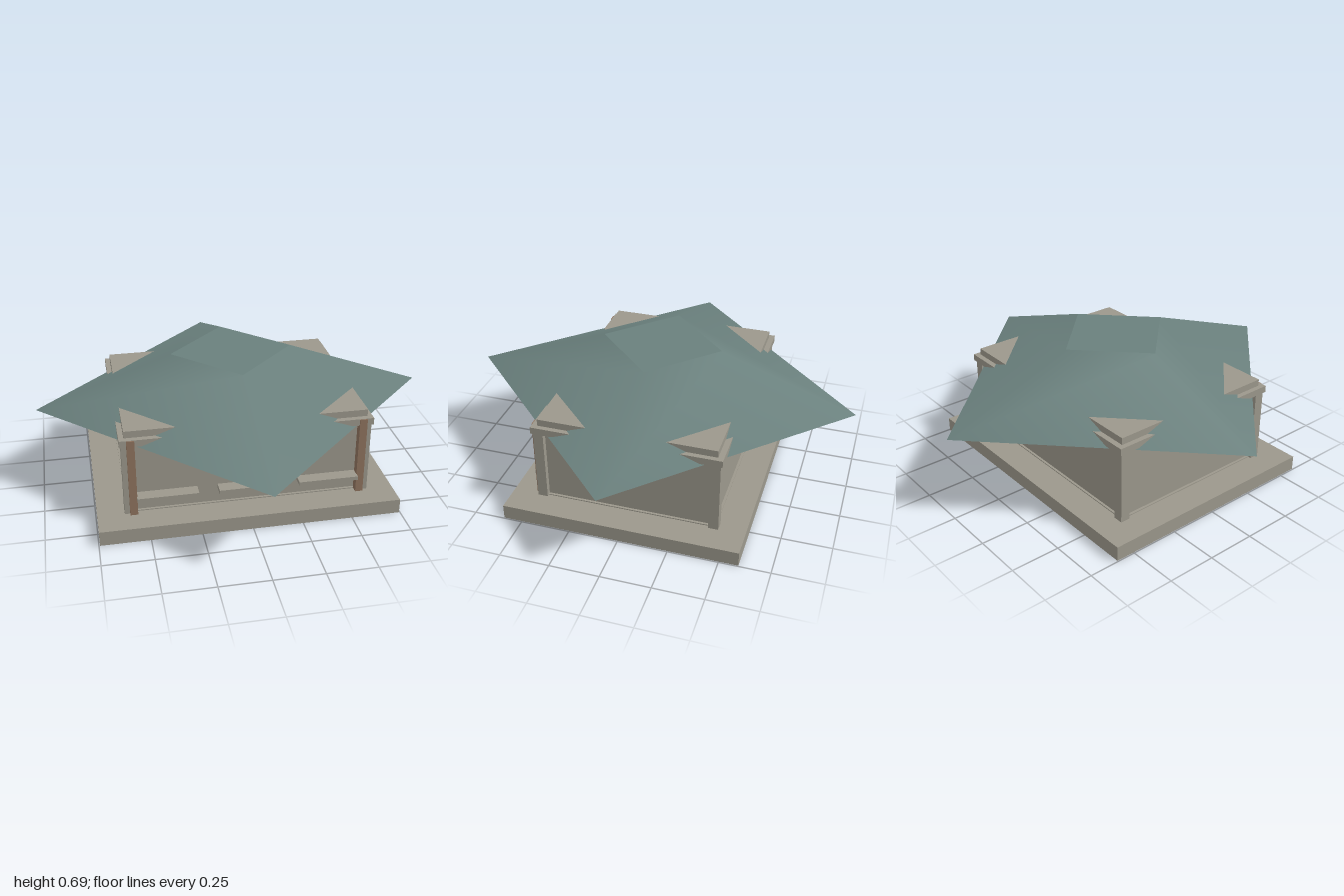
import * as THREE from 'three';

export function createModel() {
  const group = new THREE.Group();
  group.name = 'pavilion';

  const material = (name, color) => {
    const m = new THREE.MeshStandardMaterial({ color });
    m.name = name;
    return m;
  };
  const stone = material('stone', 0x9c988c);
  const roofGreen = material('roofGreen', 0x6a807d);
  const wood = material('wood', 0x8f735e);

  // Box given by its size, its bottom height and its centre in plan
  const box = (name, mat, w, h, d, x, bottom, z) => {
    const mesh = new THREE.Mesh(new THREE.BoxGeometry(w, h, d), mat);
    mesh.name = name;
    mesh.position.set(x, bottom + h / 2, z);
    group.add(mesh);
  };

  // Plinth, floor and walls
  box('plinth', stone, 1.49, 0.075, 1.19, 0, 0, 0);
  box('floor', stone, 1.195, 0.005, 0.895, 0, 0.075, 0);
  box('walls', stone, 1.17, 0.37, 0.87, 0, 0.08, 0);

  // Stacked slabs below the roof, poking out at the corners
  box('eavesBeam', stone, 1.24, 0.035, 0.946, 0, 0.45, 0);
  box('eavesSlab', stone, 1.19, 0.035, 0.89, 0, 0.485, 0);

  // Corner pillars, with wooden posts on the front pair
  for (const side of [-1, 1]) {
    for (const end of [-1, 1]) {
      box('cornerPillar', stone, 0.05, 0.38, 0.05, side * 0.587, 0.075, end * 0.438);
    }
    box('frontPost', wood, 0.038, 0.408, 0.038, side * 0.567, 0.075, 0.46);
  }

  // Three ledges along the front wall
  for (const x of [-0.4, 0, 0.4]) {
    box('frontLedge', stone, 0.3, 0.02, 0.07, x, 0.156, 0.465);
  }

  // Four-sided roof with its corners on the axes
  const roof = new THREE.Mesh(new THREE.CylinderGeometry(0.31, 1, 0.25, 4), roofGreen);
  roof.name = 'roof';
  roof.position.y = 0.57;
  group.add(roof);

  return group;
}
